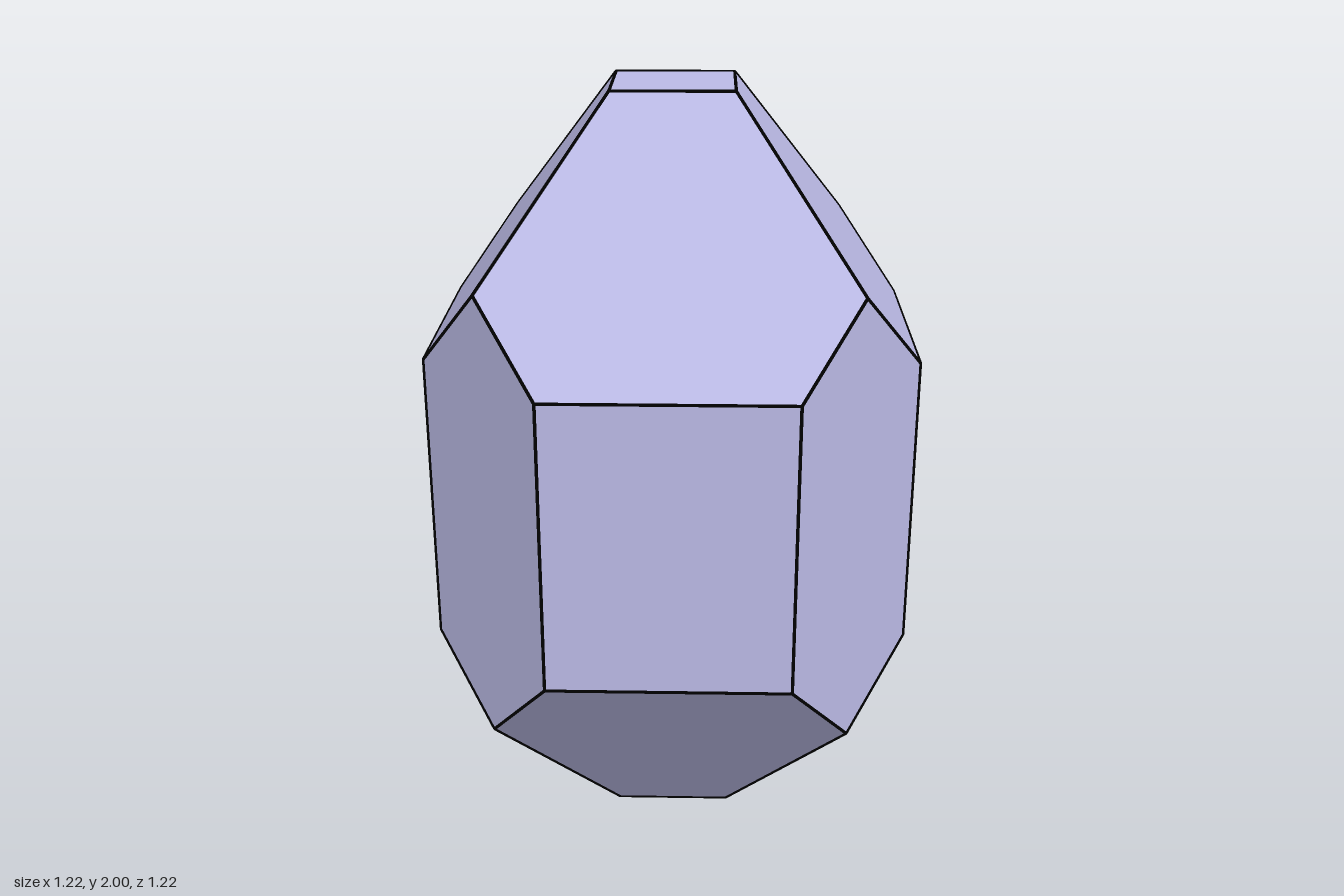
import * as THREE from 'three';
import { ConvexGeometry } from 'three/addons/geometries/ConvexGeometry.js';

export function createModel() {
  const group = new THREE.Group();
  group.name = 'crystal';

  const lavender = new THREE.MeshStandardMaterial({ color: 0xc0bfec });
  lavender.name = 'lavender';
  lavender.flatShading = true;
  const black = new THREE.MeshStandardMaterial({ color: 0x000000 });
  black.name = 'black';

  // All corners sit on multiples of one unit across and of one drop down the sloping faces
  const rodRadius = 0.004;
  const u = 0.151;
  const drop = 0.2073;
  const corners = [];
  for (const sx of [-1, 1]) for (const sy of [-1, 1]) for (const sz of [-1, 1]) {
    const add = (x, down, z) => corners.push(
      new THREE.Vector3(sx * x * u, 1 + sy * (1 - rodRadius - down * drop), sz * z * u));
    add(1, 0, 1); // small square cap
    add(3, 2, 3); // tip of each bevelled corner facet
    add(2, 3, 4); // front and back side facets
    add(4, 3, 2); // left and right side facets
  }

  const gem = new THREE.Mesh(new ConvexGeometry(corners), lavender);
  gem.name = 'facetedBody';
  group.add(gem);

  // Thin rods along every edge between two facets
  const rods = new THREE.Group();
  rods.name = 'edgeRods';
  group.add(rods);
  const ends = new THREE.EdgesGeometry(gem.geometry, 5).getAttribute('position');
  const up = new THREE.Vector3(0, 1, 0);
  for (let i = 0; i < ends.count; i += 2) {
    const a = new THREE.Vector3().fromBufferAttribute(ends, i);
    const b = new THREE.Vector3().fromBufferAttribute(ends, i + 1);
    const along = b.clone().sub(a);
    const rod = new THREE.Mesh(
      new THREE.CylinderGeometry(rodRadius, rodRadius, along.length(), 8), black);
    rod.name = 'edgeRod';
    rod.position.copy(a).add(b).multiplyScalar(0.5);
    rod.quaternion.setFromUnitVectors(up, along.normalize());
    rods.add(rod);
  }
  return group;
}
